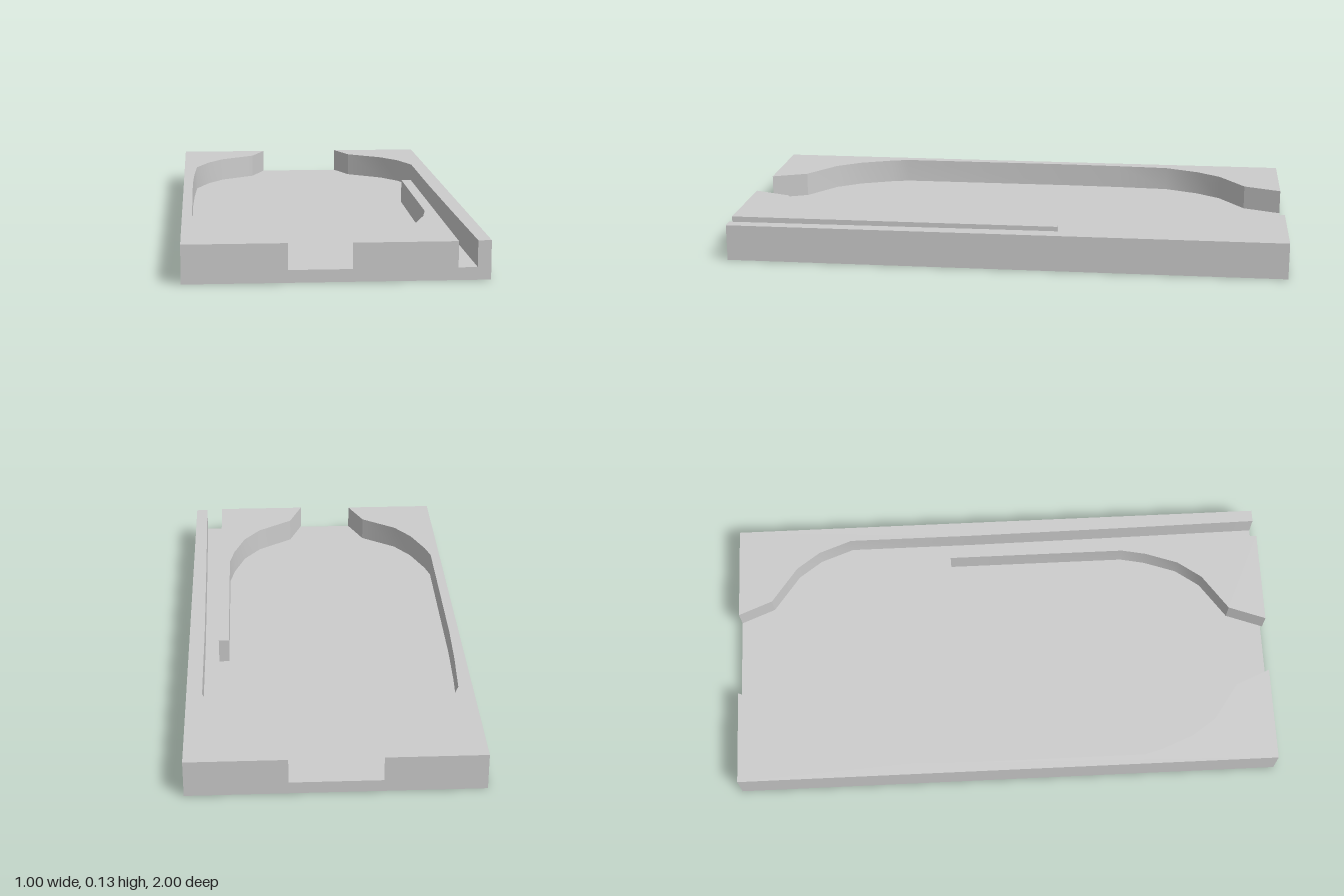
import * as THREE from 'three';
import { toCreasedNormals } from 'three/addons/utils/BufferGeometryUtils.js';

const FLOOR = 0.042, TOP = 0.13;

export function createModel() {
  const group = new THREE.Group();
  const material = new THREE.MeshStandardMaterial({ color: 0xcccccc });

  // Raises a plan outline of [x, z] points from the floor to the wall top
  function wall(name, outline) {
    const shape = new THREE.Shape(outline.map(([x, z]) => new THREE.Vector2(x, z)));
    const solid = new THREE.ExtrudeGeometry(shape, { depth: TOP - FLOOR, bevelEnabled: false });
    solid.rotateX(Math.PI / 2).translate(0, TOP, 0);
    const mesh = new THREE.Mesh(toCreasedNormals(solid, 0.5), material);
    mesh.name = name;
    group.add(mesh);
  }

  // Flat playing floor
  const floor = new THREE.Mesh(new THREE.BoxGeometry(1, FLOOR, 1.992), material);
  floor.position.set(0, FLOOR / 2, -0.004);
  floor.name = 'floor';
  group.add(floor);

  // Side wall with a rounded guide at both ends
  wall('rightSideWall', [
    [-0.5, -1], [-0.157, -1], [-0.21, -0.865], [-0.34, -0.772], [-0.4, -0.685],
    [-0.45, -0.56], [-0.46, -0.36], [-0.465, -0.16], [-0.465, 0.5], [-0.448, 0.565],
    [-0.4, 0.685], [-0.34, 0.772], [-0.21, 0.865], [-0.157, 0.992], [-0.5, 0.992],
  ]);

  // Opposite side wall, thin along the launch lane
  wall('leftSideWall', [
    [0.5, -1], [0.157, -1], [0.207, -0.875], [0.338, -0.778], [0.4, -0.692],
    [0.445, -0.57], [0.445, -0.1], [0.45, 0.48], [0.456, 0.992], [0.5, 0.992],
  ]);

  // Front guide that runs on as the divider of the launch lane
  wall('laneDivider', [
    [0.05, 1], [0.1, 0.865], [0.232, 0.772], [0.295, 0.685], [0.337, 0.565],
    [0.355, 0.475], [0.355, -0.187], [0.392, -0.187], [0.392, 1],
  ]);

  return group;
}
